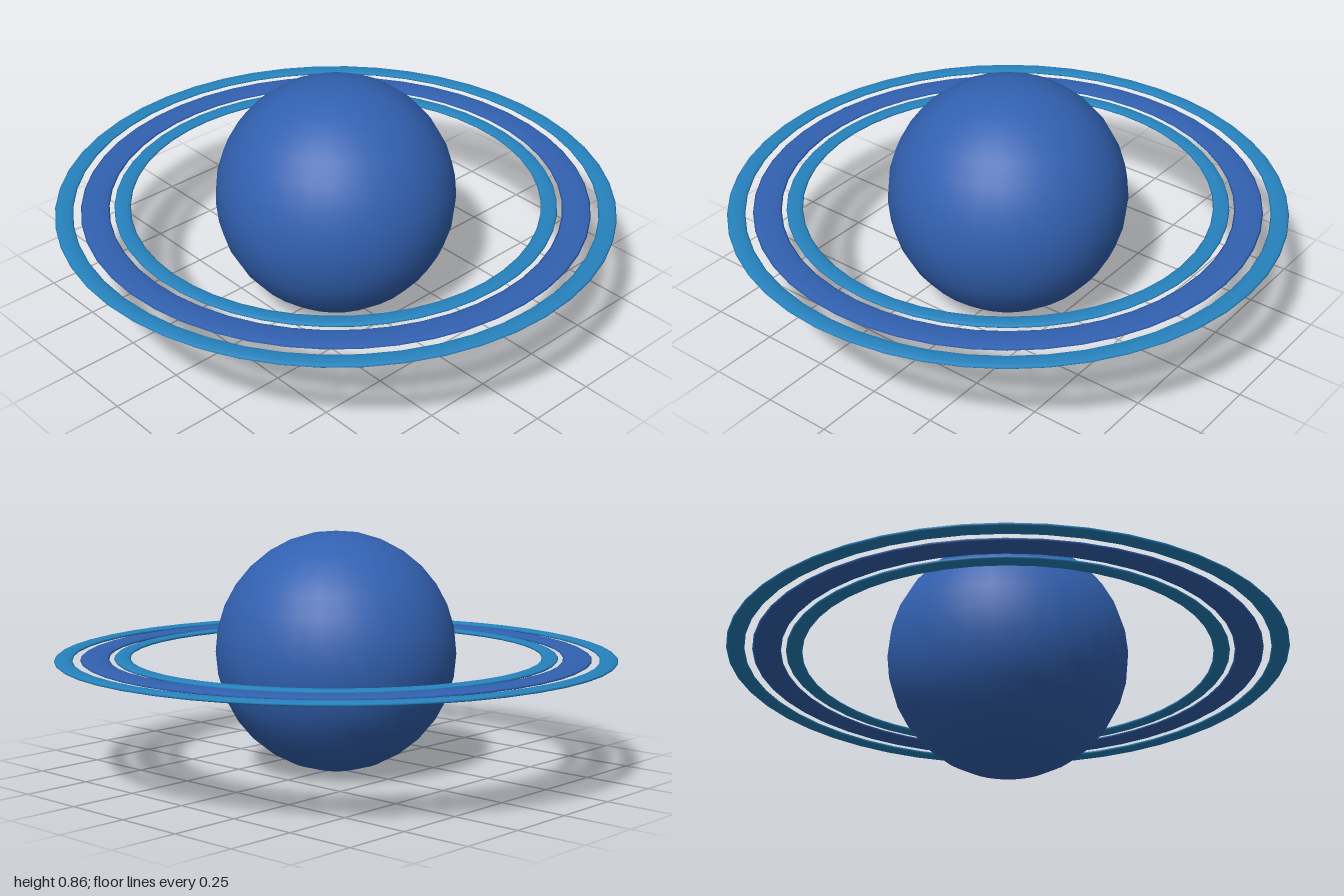
import * as THREE from 'three';

export function createModel() {
  const model = new THREE.Group();
  model.name = 'ringedPlanet';

  const deepBlue = new THREE.MeshStandardMaterial({ color: 0x3261b1 });
  deepBlue.name = 'deep blue';
  const lightBlue = new THREE.MeshStandardMaterial({ color: 0x2682bd });
  lightBlue.name = 'light blue';

  // Planet body
  const radius = 0.432;
  const planet = new THREE.Mesh(new THREE.SphereGeometry(radius, 32, 16), deepBlue);
  planet.name = 'planet';
  planet.position.y = radius;
  model.add(planet);

  // Flattened torus lying level around the planet
  function addRing(name, inner, outer, material) {
    const geometry = new THREE.TorusGeometry((inner + outer) / 2, (outer - inner) / 2, 12, 48);
    geometry.rotateX(Math.PI / 2);
    geometry.scale(1, 0.016 / (outer - inner), 1);
    const ring = new THREE.Mesh(geometry, material);
    ring.name = name;
    ring.position.y = 0.42;
    model.add(ring);
  }
  addRing('innerRing', 0.733, 0.791, lightBlue);
  addRing('middleRing', 0.808, 0.909, deepBlue);
  addRing('outerRing', 0.936, 1.0, lightBlue);

  return model;
}
